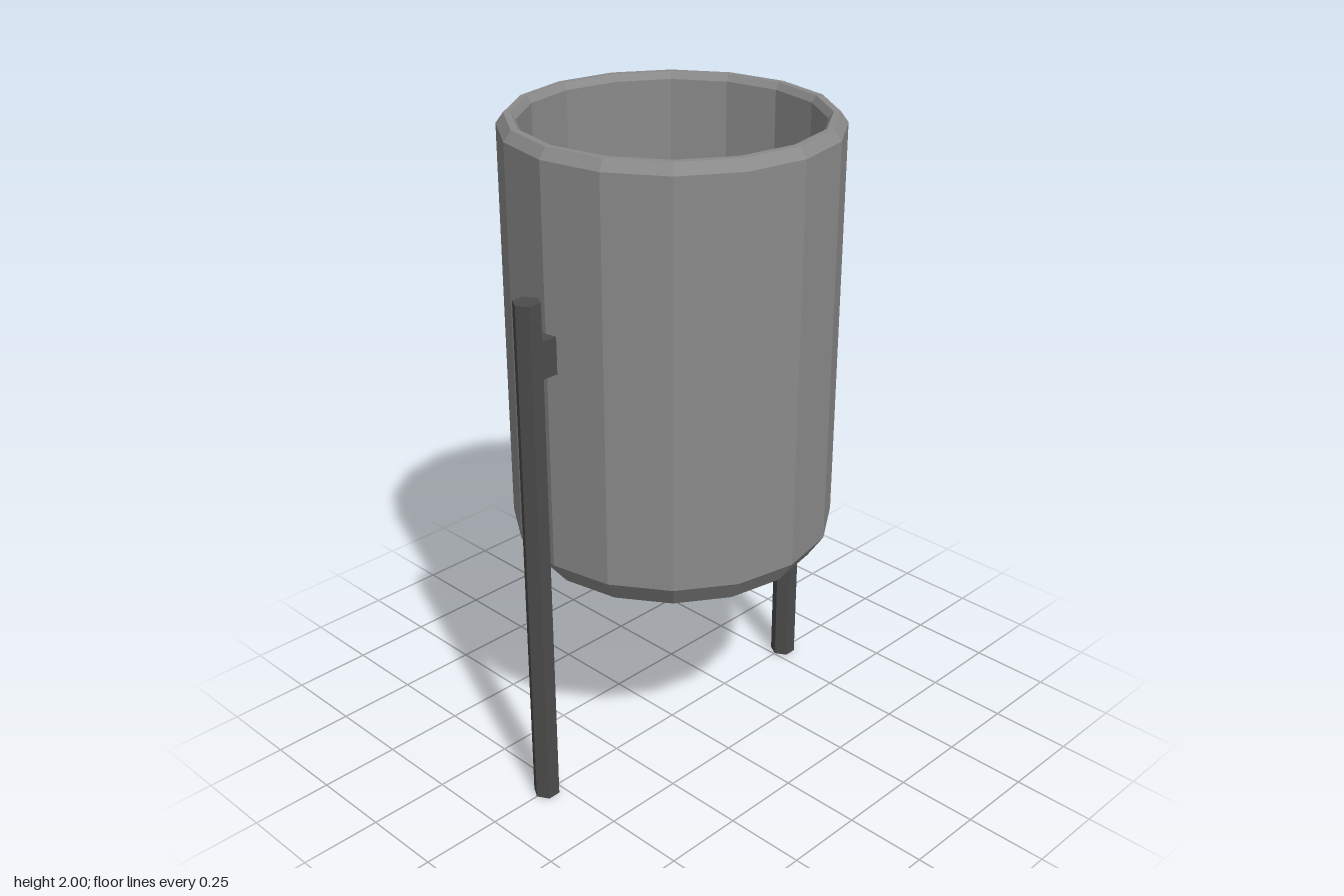
import * as THREE from 'three';

export function createModel() {
  const group = new THREE.Group();
  const vesselMaterial = new THREE.MeshStandardMaterial({ color: 0x8b8b8b, flatShading: true });
  const standMaterial = new THREE.MeshStandardMaterial({ color: 0x4c4c4c, flatShading: true });

  const add = (name, geometry, material, y, z) => {
    const mesh = new THREE.Mesh(geometry, material);
    mesh.name = name;
    mesh.position.set(0, y, z);
    group.add(mesh);
  };

  // Hollow 16-sided vessel: bevelled base, bevelled rim, inner wall and floor
  const profile = [
    [0, 0.70], [0.435, 0.70], [0.482, 0.77], [0.482, 1.97], [0.46, 2.0],
    [0.44, 2.0], [0.427, 1.98], [0.427, 0.76], [0, 0.76],
  ].map(([r, y]) => new THREE.Vector2(r, y));
  add('vessel', new THREE.LatheGeometry(profile, 16), vesselMaterial, 0, 0);

  // Dark hexagonal posts at front and back, each joined to the vessel by a small block
  for (const [side, s] of [['front', 1], ['back', -1]]) {
    add(side + 'Post', new THREE.CylinderGeometry(0.04, 0.04, 1.6, 6), standMaterial, 0.8, s * 0.544);
    add(side + 'Bracket', new THREE.BoxGeometry(0.069, 0.11, 0.07), standMaterial, 1.435, s * 0.49);
  }

  return group;
}
